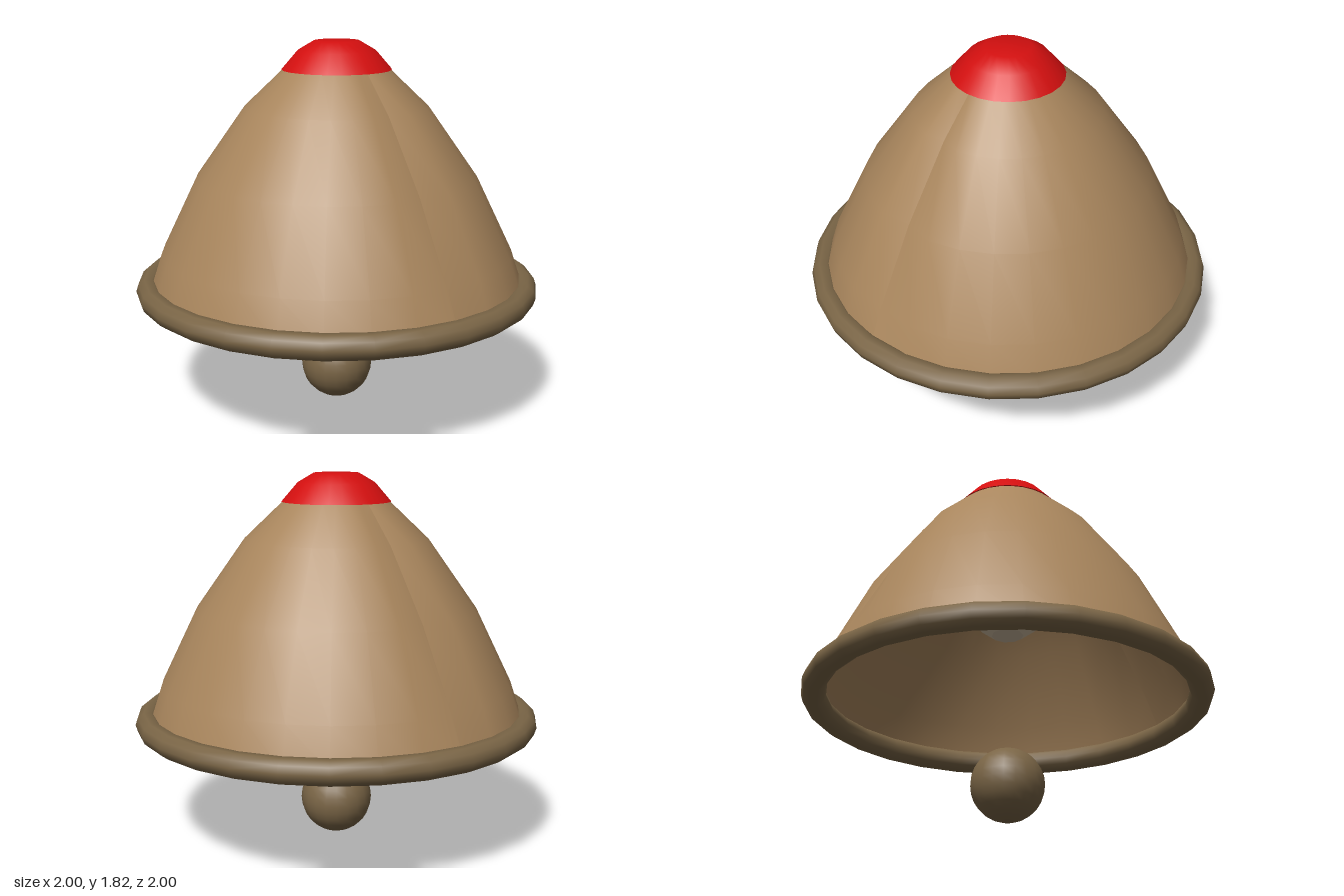
import * as THREE from 'three';

const SIDES = 28;
const flat = (name, color) => {
  const m = new THREE.MeshStandardMaterial({ color });
  m.name = name;
  return m;
};
const profile = pairs => pairs.map(([r, y]) => new THREE.Vector2(r, y));

// Half of the bell wall; both ends dip inward to form one side of a seam groove
function halfShell(start) {
  const points = profile([[0.93, 0.61], [0.87, 0.79], [0.69, 1.16], [0.45, 1.5], [0.25, 1.69]]);
  const depths = [0, 0.02, 0.04, 0.035, 0.01];
  const rows = points.length;
  const geo = new THREE.LatheGeometry(points, SIDES / 2, start, Math.PI);
  const pos = geo.attributes.position;
  for (let i = 0; i < pos.count; i++) {
    const column = Math.floor(i / rows), row = i % rows;
    if (column === 0 || column === SIDES / 2) {
      const k = 1 - depths[row] / points[row].x;
      pos.setX(i, pos.getX(i) * k);
      pos.setZ(i, pos.getZ(i) * k);
    }
  }
  geo.computeVertexNormals();
  return geo;
}

export function createModel() {
  const group = new THREE.Group();
  const tan = flat('tan shell', 0xa9865d);
  tan.side = THREE.DoubleSide;
  const brown = flat('dark brown', 0x7a6546);
  const red = flat('red', 0xd30f0f);
  const pale = flat('pale beige', 0xc9b79c);
  pale.flatShading = true;

  const add = (name, geo, mat, y = 0) => {
    const mesh = new THREE.Mesh(geo, mat);
    mesh.name = name;
    mesh.position.y = y;
    group.add(mesh);
    return mesh;
  };

  // Bell wall in two halves, meeting at the front and back seams
  add('leftShell', halfShell(0), tan);
  add('rightShell', halfShell(Math.PI), tan);

  // Rounded rim
  add('rim', new THREE.TorusGeometry(0.94, 0.06, 10, SIDES).rotateX(Math.PI / 2), brown, 0.607);

  // Flattened cap and its underside
  const capPoints = profile([[0.268, 1.68], [0.19, 1.77], [0.11, 1.817], [0, 1.817]]);
  add('cap', new THREE.LatheGeometry(capPoints, 24), red);
  add('capUnderside', new THREE.CircleGeometry(0.268, 24).rotateX(Math.PI / 2), red, 1.68);

  // Faceted knob hidden inside the bell
  const knobPoints = profile([[0, 0.96], [0.08, 0.96], [0.17, 1.03], [0.21, 1.15],
    [0.17, 1.27], [0.08, 1.34], [0, 1.34]]);
  add('innerKnob', new THREE.LatheGeometry(knobPoints, 10), pale);

  // Clapper ball
  add('clapperBall', new THREE.SphereGeometry(0.178, 20, 14), brown, 0.178);

  return group;
}
